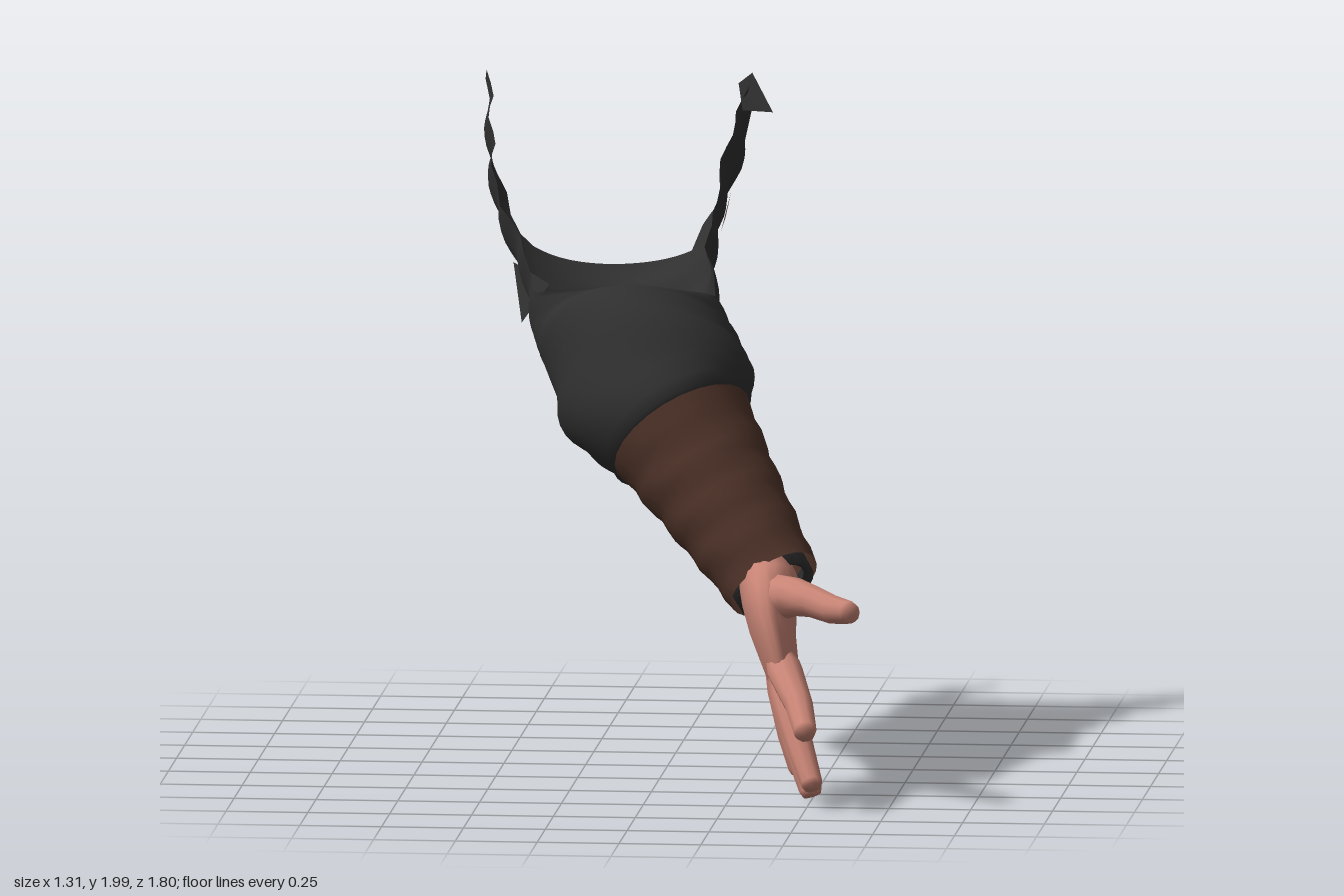
import * as THREE from 'three';
import { mergeVertices } from 'three/addons/utils/BufferGeometryUtils.js';

const V = (x, y, z) => new THREE.Vector3(x, y, z);
const lerp = THREE.MathUtils.lerp;

// Smooth surface from rows of points; corners run counter-clockwise seen from outside
function surface(rows) {
  const pos = [], idx = [], n = rows[0].length;
  rows.forEach(r => r.forEach(p => pos.push(p.x, p.y, p.z)));
  for (let i = 0; i < rows.length - 1; i++) {
    for (let j = 0; j < n - 1; j++) {
      const a = i * n + j, b = a + 1, c = a + n, d = c + 1;
      idx.push(a, b, c, b, d, c);
    }
  }
  let g = new THREE.BufferGeometry();
  g.setAttribute('position', new THREE.Float32BufferAttribute(pos, 3));
  g.setIndex(idx);
  g = mergeVertices(g, 1e-4);
  g.computeVertexNormals();
  return g;
}

// Elliptical cross-section
function ring(c, L, U, a, b, n, wobble = () => 1) {
  return Array.from({ length: n + 1 }, (_, j) => {
    const t = ((j % n) / n) * Math.PI * 2, w = wobble(t);
    return c.clone().addScaledVector(L, Math.cos(t) * a * w).addScaledVector(U, Math.sin(t) * b * w);
  });
}

// Piecewise linear lookup in [key, value...] rows
function look(table, k, col = 1) {
  let i = 0;
  while (i < table.length - 2 && k > table[i + 1][0]) i++;
  const [p, q] = [table[i], table[i + 1]];
  return lerp(p[col], q[col], THREE.MathUtils.clamp((k - p[0]) / (q[0] - p[0]), 0, 1));
}

// Upper arm and forearm frames (side, up)
const L0 = V(1, 0, 0), U0 = V(0, 0.78, 0.62), BACK = V(0, 0.62, -0.78);
const L1 = V(0.707, 0, -0.707), U1 = V(0.48, 0.735, 0.48);

// Trough of torn cloth behind the elbow: distance s, centre x, half width, depth, half opening angle
const trough = [
  [0, -0.11, 0.305, 0.285, 3.1416], [0.05, -0.13, 0.305, 0.28, 2.3], [0.12, -0.15, 0.295, 0.27, 1.97],
  [0.3, -0.195, 0.29, 0.255, 2.05], [0.45, -0.225, 0.32, 0.25, 1.98], [0.54, -0.24, 0.34, 0.25, 1.8],
  [0.63, -0.25, 0.355, 0.25, 2.0], [1, -0.235, 0.42, 0.27, 2.1],
];
function troughPoint(v, s, lift = 0) {
  const f = v * look(trough, s, 4);
  const fold = Math.sin(s * 34 + 1.5 * Math.cos(f * 2) + Math.sin(f)) * Math.min(1, s * 8);
  const a = look(trough, s, 2) * (1 + 0.025 * fold) + lift, b = look(trough, s, 3) * (1 + 0.045 * fold) + lift;
  // Walls stand nearly upright above their widest point
  let side = Math.sin(f);
  if (Math.abs(f) > Math.PI / 2) side = lerp(side, Math.sign(f) * (0.6 + 0.4 * Math.abs(side)), Math.min(1, s * 6));
  const p = V(look(trough, s, 1), 1.26, -0.2).addScaledVector(BACK, s);
  return p.addScaledVector(L0, a * side).addScaledVector(U0, -b * Math.cos(f));
}

function sleeveGeometry() {
  const nv = 40, rows = [], nt = 22;
  const end = v => {
    const k = Math.max(0, (Math.abs(v) - 0.4) / 0.6);
    return 0.58 + 0.43 * k ** 0.85 + (k > 0 && k < 0.97 ? 0.02 * Math.sin(v * 31) : 0);
  };
  for (let i = 0; i <= nt; i++) {
    rows.push(Array.from({ length: nv + 1 }, (_, j) => {
      const v = (j / nv) * 2 - 1;
      return troughPoint(v, end(v) * (1 - i / nt));
    }));
  }
  // Closed bunched elbow: centre, radius, turn towards the forearm
  const rings = [
    [-0.095, 1.235, -0.165, 0.32, 0.12], [-0.07, 1.19, -0.12, 0.305, 0.3], [-0.045, 1.155, -0.08, 0.32, 0.45],
    [-0.015, 1.12, -0.035, 0.293, 0.65], [0.01, 1.095, -0.005, 0.29, 0.8], [0.033, 1.07, 0.03, 0.26, 0.95],
    [0.045, 1.045, 0.055, 0.248, 1], [0.05, 1.04, 0.06, 0.22, 1],
  ];
  for (const [x, y, z, r, k] of rings) {
    const L = L0.clone().lerp(L1, k).normalize(), U = U0.clone().lerp(U1, k).normalize();
    rows.push(Array.from({ length: nv + 1 }, (_, j) => {
      const f = ((j / nv) * 2 - 1) * Math.PI;
      const w = r * (1 + 0.025 * Math.sin(f * 3 + x * 40));
      return V(x, y, z).addScaledVector(L, 0.94 * w * Math.sin(f)).addScaledVector(U, -w * Math.cos(f));
    }));
  }
  return surface(rows);
}

function cuffGeometry() {
  const a = V(0.05, 1.04, 0.06), b = V(0.362, 0.632, 0.372), rows = [], n = 14;
  for (let i = 0; i <= n; i++) {
    const t = i / n, r = lerp(0.232, 0.145, Math.pow(t, 0.85));
    const c = a.clone().lerp(b, t);
    rows.push(ring(c, L1, U1, r, r, 24, q => 1 + 0.03 * Math.sin(i * 1.9 + 1.4 * Math.sin(q * 2)) * Math.min(1, t * 5)));
  }
  return surface(rows);
}

// Tapered finger through [x, y, z, radius] points with a blunt rounded tip
function fingerGeometry(pts) {
  const rows = [], P = pts.map(p => V(p[0], p[1], p[2])), n = pts.length, ref = V(1, 0.2, 0.1);
  pts.forEach((p, i) => {
    const d = P[Math.min(i + 1, n - 1)].clone().sub(P[Math.max(i - 1, 0)]).normalize();
    const L = ref.clone().cross(d).normalize(), U = d.clone().cross(L);
    rows.push(ring(P[i], L, U, p[3], p[3], 10));
    if (i === n - 1) {
      rows.push(ring(P[i].clone().addScaledVector(d, 0.018), L, U, p[3] * 0.8, p[3] * 0.8, 10));
      rows.push(ring(P[i].clone().addScaledVector(d, 0.022), L, U, 0, 0, 10));
    }
  });
  return surface(rows);
}

function palmGeometry() {
  const T = V(1, 0.13, -0.06).normalize(), W = V(0, 0.43, 0.9).normalize();
  // Centre, half thickness, half breadth
  const rings = [
    [0.31, 0.71, 0.31, 0.1, 0.11], [0.35, 0.65, 0.372, 0.1, 0.145], [0.36, 0.58, 0.42, 0.09, 0.185],
    [0.37, 0.5, 0.445, 0.075, 0.205], [0.388, 0.43, 0.465, 0.064, 0.205], [0.407, 0.36, 0.492, 0.052, 0.19],
    [0.415, 0.325, 0.505, 0.038, 0.165], [0.42, 0.305, 0.505, 0, 0],
  ];
  // The palm side (+x) is slightly hollow
  return surface(rings.map(([x, y, z, a, b]) => ring(V(x, y, z), T, W, a, b, 20,
    t => 1 - 0.18 * Math.max(0, Math.cos(t)) ** 4)));
}

function patch(points) {
  const g = new THREE.BufferGeometry().setFromPoints(points);
  g.setIndex(points.length === 4 ? [0, 1, 2, 0, 2, 3] : [0, 1, 2]);
  g.computeVertexNormals();
  return g;
}

export function createModel() {
  const model = new THREE.Group();
  const material = (name, color, side = THREE.DoubleSide) =>
    Object.assign(new THREE.MeshStandardMaterial({ color, side }), { name });
  const cloth = material('darkCloth', 0x303030);
  const leather = material('brownLeather', 0x4d3228);
  const skin = material('skin', 0xc98576, THREE.FrontSide);
  const add = (name, geometry, mat, parent = model) => {
    const m = new THREE.Mesh(geometry, mat);
    m.name = name;
    parent.add(m);
  };

  add('tornSleeve', sleeveGeometry(), cloth);
  add('forearmCuff', cuffGeometry(), leather);

  // Dark lining showing at the wrist
  const wrist = [[0.34, 0.655, 0.34, 0.128], [0.37, 0.61, 0.36, 0.126], [0.362, 0.622, 0.355, 0.1]];
  add('wristLining', surface(wrist.map(([x, y, z, r]) => ring(V(x, y, z), L1, U1, r, r, 20))), cloth);

  // Loose tatters and worn patches
  add('leftTatter', patch([V(0.13, 1.97, -0.88), V(0.17, 2, -0.9), V(0.24, 1.89, -0.83), V(0.15, 1.9, -0.8)]), cloth);
  add('rightTatter', patch([V(-0.4, 1.42, -0.4), V(-0.52, 1.47, -0.5), V(-0.485, 1.3, -0.4)]), cloth);
  for (const [v, s, dv, ds] of [[0.72, 0.61, 0.07, 0.04], [0.24, 0.555, 0.03, 0.02]]) {
    add('wornPatch', patch([[-1, -1], [1, -1], [1, 1], [-1, 1]].map(([i, j]) =>
      troughPoint(v + i * dv, s + j * ds, 0.012))), leather);
  }

  // Open hand
  const hand = new THREE.Group();
  hand.name = 'hand';
  model.add(hand);
  add('palm', palmGeometry(), skin, hand);
  const fingers = {
    thumb: [[0.35, 0.59, 0.42, 0.045], [0.39, 0.615, 0.52, 0.072], [0.445, 0.63, 0.6, 0.06], [0.51, 0.627, 0.665, 0.049], [0.575, 0.612, 0.72, 0.044], [0.63, 0.612, 0.775, 0.036]],
    indexFinger: [[0.375, 0.47, 0.52, 0.03], [0.42, 0.405, 0.62, 0.055], [0.475, 0.325, 0.755, 0.044], [0.505, 0.26, 0.865, 0.036]],
    middleFinger: [[0.38, 0.43, 0.5, 0.03], [0.418, 0.33, 0.57, 0.05], [0.47, 0.19, 0.68, 0.042], [0.515, 0.085, 0.765, 0.034]],
    ringFinger: [[0.38, 0.41, 0.45, 0.03], [0.41, 0.3, 0.49, 0.048], [0.45, 0.16, 0.545, 0.042], [0.495, 0.035, 0.59, 0.035]],
    littleFinger: [[0.36, 0.44, 0.355, 0.035], [0.39, 0.31, 0.38, 0.048], [0.415, 0.17, 0.38, 0.041], [0.44, 0.07, 0.38, 0.034]],
  };
  for (const [name, pts] of Object.entries(fingers)) add(name, fingerGeometry(pts), skin, hand);

  return model;
}
